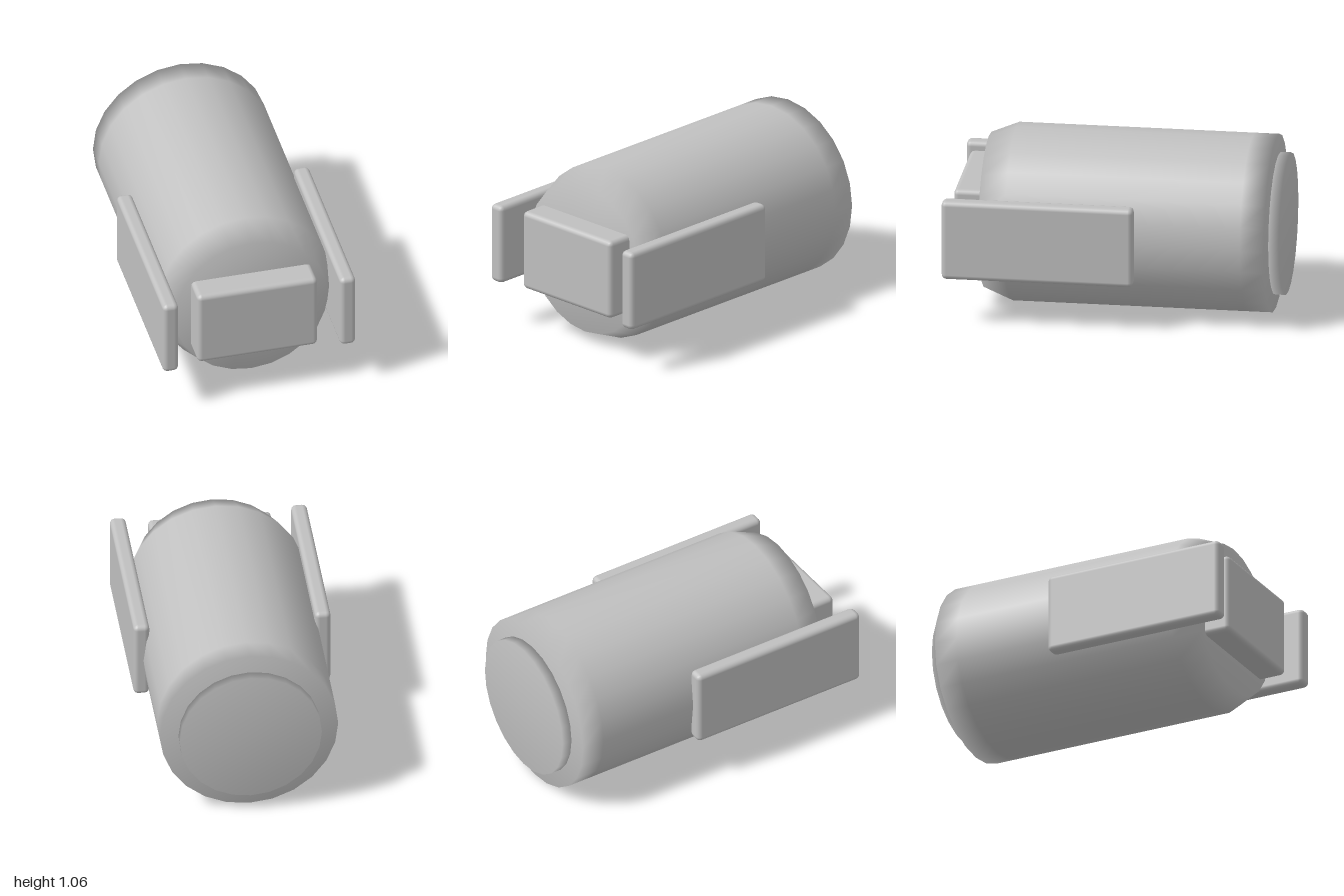
import * as THREE from 'three';
import { RoundedBoxGeometry } from 'three/addons/geometries/RoundedBoxGeometry.js';

const CENTER_Y = 0.535;

export function createModel() {
  const group = new THREE.Group();
  const grey = new THREE.MeshStandardMaterial({ color: 0xc0c0c0 });
  grey.name = 'light grey';

  const add = (name, geometry, x, y, z) => {
    const mesh = new THREE.Mesh(geometry, grey);
    mesh.name = name;
    mesh.position.set(x, y, z);
    group.add(mesh);
  };

  // Round part along z from [radius, z] pairs, running back to front
  const turned = (profile) =>
    new THREE.LatheGeometry(profile.map(([r, z]) => new THREE.Vector2(r, z)), 24).rotateX(Math.PI / 2);

  // Barrel with a tapered front rim and closed ends
  add('barrel', turned([
    [0, -0.925], [0.532, -0.925], [0.532, -0.78], [0.532, 0.63], [0.465, 0.795], [0, 0.795],
  ]), 0, CENTER_Y, 0);

  // Disc floating just behind the barrel
  add('rearDisc', turned([[0, -0.937], [0.425, -0.937], [0.425, -1], [0, -1]].reverse()), 0, CENTER_Y, 0);

  // Block on the front face
  add('frontBlock', new RoundedBoxGeometry(0.736, 0.49, 0.255, 2, 0.03), 0, CENTER_Y, 0.8275);

  // Side plates sunk slightly into the barrel
  for (const [name, side] of [['leftPlate', 1], ['rightPlate', -1]]) {
    add(name, new RoundedBoxGeometry(0.096, 0.49, 1.147, 2, 0.03), side * 0.542, CENTER_Y, 0.4265);
  }
  return group;
}
